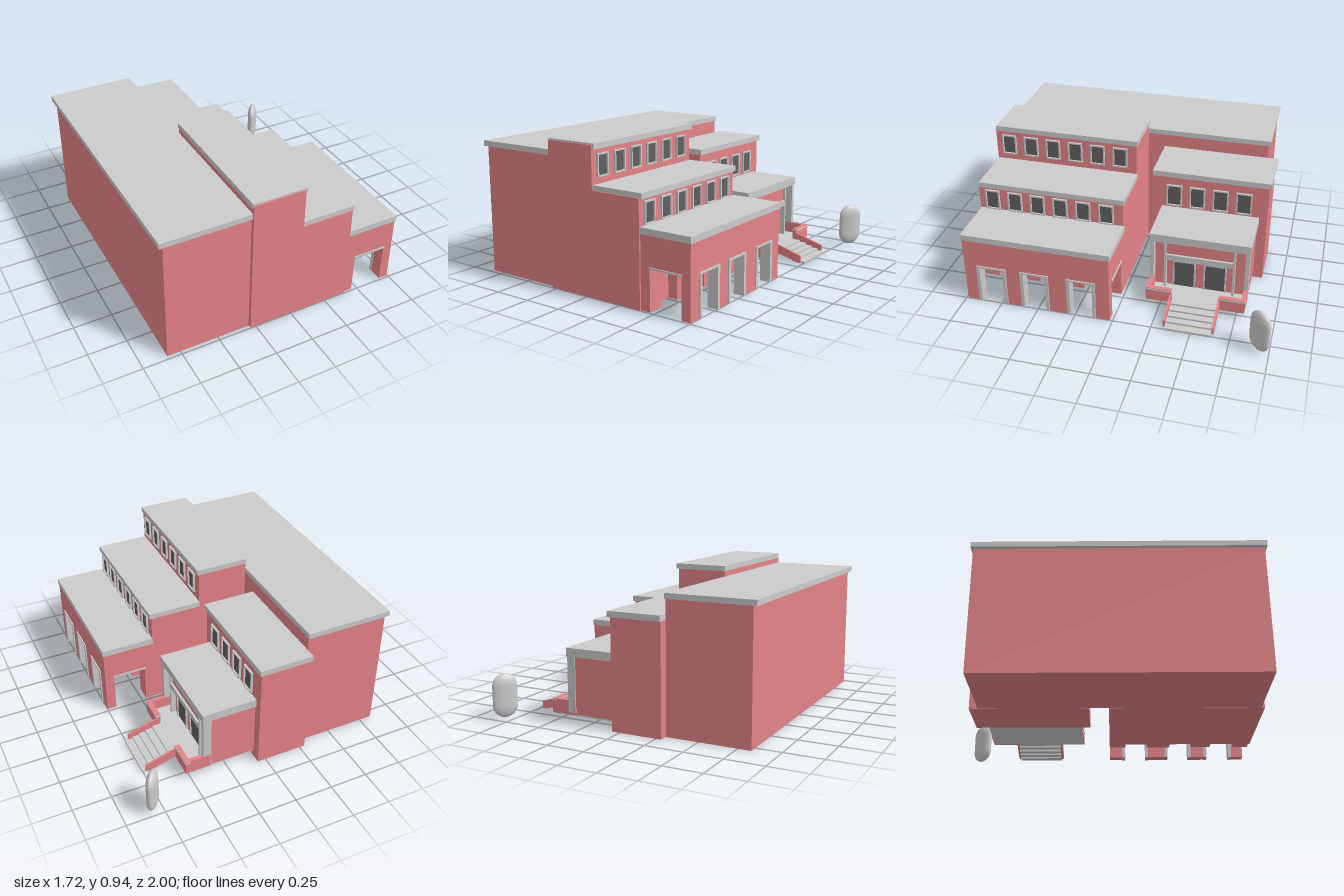
import * as THREE from 'three';

const mat = (color) => new THREE.MeshStandardMaterial({ color });
const RED = mat(0xe58388), GREY = mat(0xcccccc), DARK = mat(0x606060);

// Box given by its limits on each axis
function box(parent, name, material, [x0, x1], [y0, y1], [z0, z1]) {
  const mesh = new THREE.Mesh(new THREE.BoxGeometry(x1 - x0, y1 - y0, z1 - z0), material);
  mesh.position.set((x0 + x1) / 2, (y0 + y1) / 2, (z0 + z1) / 2);
  mesh.name = name;
  parent.add(mesh);
  return mesh;
}

function group(parent, name) {
  const g = new THREE.Group();
  g.name = name;
  parent.add(g);
  return g;
}

// Framed dark opening on a wall that faces +x
function framedPane(parent, name, x, [y0, y1], z, width, trim = 0.009, depth = 0.014, sill = true) {
  const g = group(parent, name);
  const h = width / 2;
  box(g, 'pane', DARK, [x - 0.005, x + 0.003], [y0, y1], [z - h, z + h]);
  for (const s of [-1, 1]) {
    const a = z + s * h, b = z + s * (h + trim);
    box(g, 'jamb', GREY, [x - 0.005, x + depth], [y0, y1], [Math.min(a, b), Math.max(a, b)]);
  }
  box(g, 'head', GREY, [x - 0.005, x + depth], [y1, y1 + trim], [z - h - trim, z + h + trim]);
  if (sill) box(g, 'sill', GREY, [x - 0.005, x + depth], [y0 - trim, y0], [z - h - trim, z + h + trim]);
}

function buildHall(root) {
  const g = group(root, 'mainHall');
  box(g, 'hallWalls', RED, [-0.835, -0.288], [0, 0.83], [-0.805, 0.975]);
  box(g, 'hallRoof', GREY, [-0.86, -0.283], [0.83, 0.865], [-0.817, 0.987]);
}

// Stepped front wing with two rows of windows
function buildFrontWing(root) {
  const g = group(root, 'frontWing');
  box(g, 'upperWalls', RED, [-0.285, 0.055], [0, 0.925], [0.02, 0.997]);
  box(g, 'upperRoof', GREY, [-0.287, 0.07], [0.9, 0.935], [0.012, 0.99]);
  box(g, 'middleWalls', RED, [0.055, 0.4], [0, 0.66], [0.02, 0.997]);
  box(g, 'middleRoof', GREY, [0.055, 0.415], [0.655, 0.69], [0.012, 0.99]);
  for (let i = 0; i < 6; i++) {
    const z = 0.905 - i * 0.155;
    framedPane(g, 'upperWindow', 0.055, [0.74, 0.862], z, 0.08);
    framedPane(g, 'middleWindow', 0.4, [0.507, 0.628], z, 0.08);
  }
}

// Covered walk with piers, open at both ends
function buildArcade(root) {
  const g = group(root, 'arcade');
  box(g, 'arcadeLintel', RED, [0.4, 0.747], [0.265, 0.458], [0.02, 0.987]);
  box(g, 'arcadeRoof', GREY, [0.4, 0.752], [0.455, 0.495], [0.012, 0.992]);
  for (const zs of [[0.885, 0.987], [0.59, 0.725], [0.28, 0.44], [0.02, 0.13]]) {
    box(g, 'pier', RED, [0.685, 0.747], [0, 0.27], zs);
    box(g, 'pilaster', RED, [0.4, 0.465], [0, 0.27], zs);
  }
  for (const [z0, z1] of [[0.725, 0.885], [0.44, 0.59], [0.13, 0.28]]) {
    box(g, 'openingJamb', GREY, [0.683, 0.755], [0, 0.262], [z0 - 0.02, z0 + 0.002]);
    box(g, 'openingJamb', GREY, [0.683, 0.755], [0, 0.262], [z1 - 0.002, z1 + 0.02]);
    box(g, 'openingHead', GREY, [0.683, 0.755], [0.26, 0.272], [z0 - 0.02, z1 + 0.02]);
  }
  for (const zs of [[0.014, 0.03], [0.977, 0.993]])
    box(g, 'endHead', GREY, [0.46, 0.69], [0.258, 0.27], zs);
}

// Rear wing: tall block behind, entrance block with portico in front
function buildRearWing(root) {
  const g = group(root, 'rearWing');
  box(g, 'upperWalls', RED, [-0.285, 0.055], [0, 0.71], [-0.862, -0.105]);
  box(g, 'upperRoof', GREY, [-0.287, 0.07], [0.705, 0.742], [-0.875, -0.095]);
  for (let i = 0; i < 4; i++)
    framedPane(g, 'upperWindow', 0.055, [0.497, 0.635], -0.24 - i * 0.155, 0.085);

  const e = group(g, 'entrance');
  box(e, 'entranceWalls', RED, [0.055, 0.36], [0.05, 0.425], [-0.8, -0.165]);
  box(e, 'entranceRoof', GREY, [0.055, 0.415], [0.42, 0.475], [-0.81, -0.157]);
  box(e, 'porchFloor', GREY, [0.056, 0.51], [0.04, 0.065], [-0.797, -0.168]);
  for (const zs of [[-0.186, -0.16], [-0.805, -0.779]])
    box(e, 'cornerPost', GREY, [0.355, 0.41], [0.06, 0.422], zs);
  for (const zs of [[-0.264, -0.25], [-0.714, -0.7]])
    box(e, 'innerPost', GREY, [0.355, 0.395], [0.06, 0.422], zs);
  box(e, 'beam', GREY, [0.355, 0.395], [0.28, 0.318], [-0.71, -0.255]);
  box(e, 'panel', RED, [0.355, 0.38], [0.318, 0.412], [-0.7, -0.264]);
  for (const z of [-0.38, -0.583])
    framedPane(e, 'door', 0.36, [0.066, 0.255], z, 0.13, 0.01, 0.012, false);

  // Porch parapets, mirrored about the middle of the stairs
  for (const s of [-1, 1]) {
    const span = (a, b) => [-0.483 + s * a, -0.483 + s * b].sort((p, q) => p - q);
    box(e, 'parapetFront', RED, [0.5, 0.53], [0.045, 0.137], span(0.155, 0.322));
    box(e, 'parapetSide', RED, [0.36, 0.5], [0.045, 0.137], span(0.295, 0.322));
    box(e, 'parapetTrim', GREY, [0.5, 0.533], [0.122, 0.132], span(0.15, 0.324));
    const rail = new THREE.Shape([[0.525, 0.055], [0.525, 0.113], [0.73, 0.052], [0.73, 0.004], [0.7, 0.004]]
      .map((p) => new THREE.Vector2(...p)));
    const mesh = new THREE.Mesh(new THREE.ExtrudeGeometry(rail, { depth: 0.014, bevelEnabled: false }), RED);
    mesh.position.z = span(0.148, 0.162)[0];
    mesh.name = 'stairRail';
    e.add(mesh);
  }

  // Stairs descending toward +x
  const edges = [0.5, 0.56, 0.61, 0.655, 0.7, 0.752];
  for (let i = 0; i < 5; i++) {
    const top = 0.064 - i * 0.0125;
    box(e, 'step', GREY, [edges[i], edges[i + 1] + 0.004], [Math.max(0, top - 0.016), top], [-0.633, -0.333]);
  }
}

// Flattened upright capsule standing beside the stairs
function buildMarker(root) {
  const marker = new THREE.Mesh(new THREE.CapsuleGeometry(0.08, 0.125, 12, 32), GREY);
  marker.scale.z = 0.4;
  marker.rotation.y = 0.92;
  marker.position.set(0.803, 0.152, -0.935);
  marker.name = 'capsuleMarker';
  root.add(marker);
}

export function createModel() {
  const root = new THREE.Group();
  root.name = 'building';
  buildHall(root);
  buildFrontWing(root);
  buildArcade(root);
  buildRearWing(root);
  buildMarker(root);
  return root;
}
